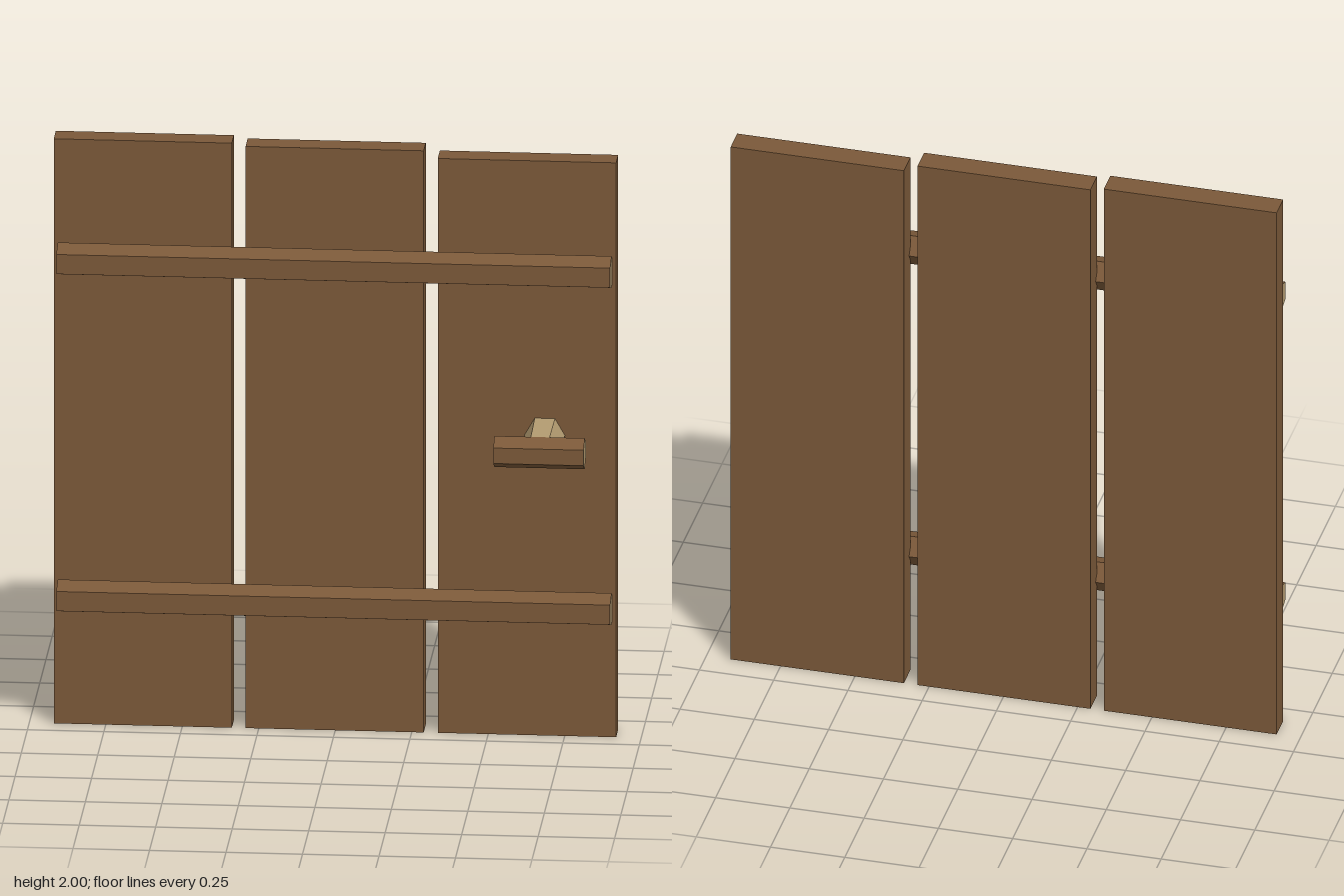
import * as THREE from 'three';

export function createModel() {
  const door = new THREE.Group();
  door.name = 'plankDoor';

  const brownWood = new THREE.MeshStandardMaterial({ color: 0x7b5939 });
  brownWood.name = 'brownWood';
  const cutWood = new THREE.MeshStandardMaterial({ color: 0xb39b71 });
  cutWood.name = 'cutWood';

  function add(name, geometry, material, x, y, z) {
    const mesh = new THREE.Mesh(geometry, material);
    mesh.name = name;
    mesh.position.set(x, y, z);
    door.add(mesh);
  }

  // Faceted pole along +y; start is the angle of its first corner
  function pole(rTop, rBottom, length, sides, start) {
    return new THREE.CylinderGeometry(rTop, rBottom, length, sides, 1, false, start);
  }

  function faceted(geometry) {
    const flat = geometry.toNonIndexed();
    flat.computeVertexNormals();
    return flat;
  }

  // Upright planks, each a little shorter than the last
  const planks = [
    ['rightPlank', -0.92, -0.338, 2.0],
    ['middlePlank', -0.293, 0.289, 1.99],
    ['leftPlank', 0.335, 0.918, 1.965],
  ];
  for (const [name, x0, x1, height] of planks) {
    add(name, new THREE.BoxGeometry(x1 - x0, height, 0.085), brownWood,
      (x0 + x1) / 2, height / 2, -0.118);
  }

  // Five-sided cross rails with a flat front, sunk into the planks, with pale cut ends
  for (const [name, y] of [['upperRail', 1.598], ['lowerRail', 0.445]]) {
    const rail = pole(0.057, 0.057, 1.81, 5, Math.PI).rotateZ(-Math.PI / 2);
    add(name, faceted(rail), [brownWood, cutWood, cutWood], 0, y, -0.037);
  }

  // Handle: pale hexagonal stem and a short crossbar
  const stem = pole(0.061, 0.066, 0.2, 6, Math.PI / 2).rotateX(Math.PI / 2);
  add('handleStem', faceted(stem), cutWood, 0.685, 1.028, 0.013);

  const grip = pole(0.053, 0.053, 0.295, 6, Math.PI / 2).rotateZ(-Math.PI / 2);
  add('handleGrip', faceted(grip), [brownWood, cutWood, cutWood], 0.683, 1.028, 0.113);

  return door;
}
